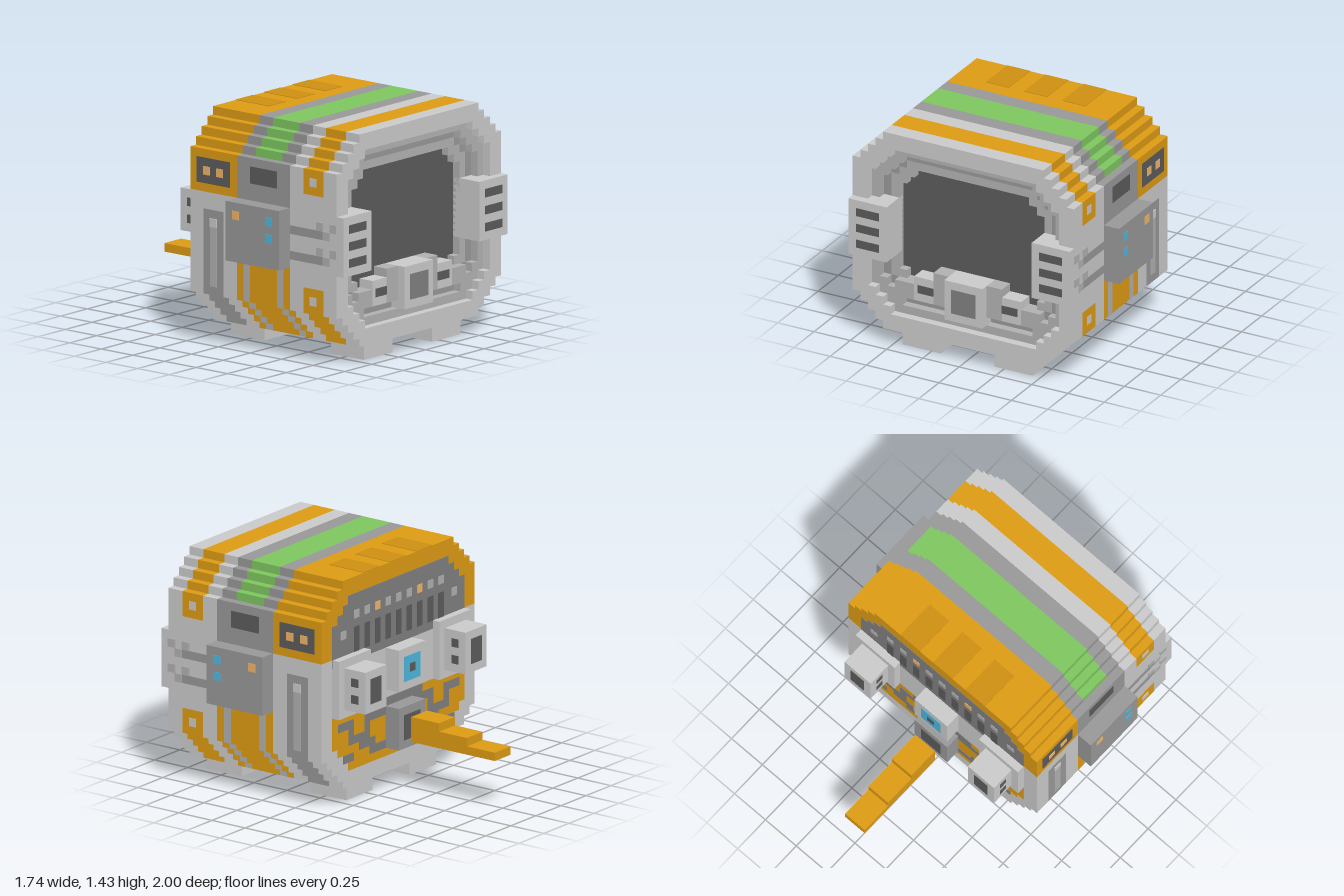
import * as THREE from 'three';
import { mergeGeometries } from 'three/addons/utils/BufferGeometryUtils.js';

const U = 1 / 19; // size of one voxel
const E = 0.06;   // thickness of painted panels, in voxels
const C = {
  light: 0xcccccc, pale: 0xb2b2b2, mid: 0x999999, grey: 0x808080, dark: 0x5c5c5c,
  orange: 0xdf9c14, amber: 0xcf9012, green: 0x7fc760, blue: 0x4fb8e0, tan: 0xf2b56a,
};

export function createModel() {
  const model = new THREE.Group();
  const parts = {};

  // Box between voxel coordinates, collected by part and colour
  function box(part, color, x0, x1, y0, y1, z0, z1) {
    const g = new THREE.BoxGeometry((x1 - x0) * U, (y1 - y0) * U, (z1 - z0) * U);
    g.translate((x0 + x1) / 2 * U, (y0 + y1) / 2 * U, (z0 + z1) / 2 * U);
    ((parts[part] ??= {})[color] ??= []).push(g);
  }
  function pair(part, color, x0, x1, ...yz) {
    box(part, color, x0, x1, ...yz);
    box(part, color, -x1, -x0, ...yz);
  }
  // Painted patches on the sides, front and back
  const side = (color, y0, y1, z0, z1, x = 14.5, n = 1) =>
    pair('sidePanel', color, x, x + E * n, y0, y1, z0, z1);
  const back = (color, x0, x1, y0, y1, z = -4, n = 1) =>
    pair('backPanel', color, x0, x1, y0, y1, z - E * n, z);

  // Stepped octagon: half width of a voxel row
  const octagon = (y0, y1, start, max) => y =>
    y < y0 || y >= y1 ? 0 : Math.min(max, start + Math.min(y - y0, y1 - 1 - y));
  const outline = octagon(2, 27, 10.5, 14.5);
  const hole1 = octagon(4, 25, 9.5, 12.5);
  const hole2 = octagon(5, 24, 8.5, 11.5);
  const hole3 = octagon(6, 23, 8.5, 10.5);
  const windowHole = octagon(7, 22, 7.5, 9.5);

  // Slab or ring of rows, joining equal rows
  function slab(part, z0, z1, outer, inner, colorAt) {
    for (let y = 2; y < 27;) {
      const o = outer(y), i = inner(y), c = colorAt(y);
      let e = y + 1;
      while (e < 27 && outer(e) === o && inner(e) === i && colorAt(e) === c) e++;
      if (o > i) {
        if (i > 0) pair(part, c, i, o, y, e, z0, z1);
        else box(part, c, -o, o, y, e, z0, z1);
      }
      y = e;
    }
  }
  const none = () => 0;

  // Hull: bands along z, each with colours from bottom to top [upper y, colour]
  const cap = [[27, C.orange]];
  const bands = [
    [-4, -2, [[18, C.light], ...cap]],
    [-2, 1, [[16, C.mid], [18, C.light], ...cap]],
    [1, 3, [[18, C.light], ...cap]],
    [3, 4, [[18, C.orange], [27, C.mid]]],
    [4, 5, [[18, C.pale], [27, C.mid]]],
    [5, 9, [[18, C.orange], [23, C.mid], [27, C.green]]],
    [9, 10, [[18, C.pale], [27, C.mid]]],
    [10, 11, [[18, C.orange], [27, C.mid]]],
    [11, 13, [[27, C.light]]],
    [13, 15, [[9, C.orange], [20, C.light], ...cap]],
    [15, 16, [[9, C.orange], [20, C.light], ...cap], hole1],
    [16, 18, [[27, C.light]], hole1],
  ];
  for (const [z0, z1, cols, hole = none] of bands)
    slab('hull', z0, z1, outline, hole, y => cols.find(c => y < c[0])[1]);

  // Stepped window frame and dark window
  slab('windowFrame', 15, 17, hole1, hole2, () => C.pale);
  slab('windowFrame', 15, 16, hole2, hole3, () => C.mid);
  slab('windowFrame', 15, 16, hole3, windowHole, () => C.pale);
  slab('window', 15, 15 + E, windowHole, none, () => C.dark);

  // Console below the window
  box('console', C.light, -2.5, 2.5, 5, 10, 15, 18);
  box('console', C.grey, -1.6, 1.6, 6, 9, 18, 18 + E);
  pair('console', C.pale, 2.5, 4.5, 6, 10, 15, 17);
  pair('console', C.light, 4.5, 7, 6, 9, 15, 17);
  pair('console', C.pale, 7, 9.5, 6, 8, 15, 17);
  pair('console', C.dark, 4.5, 6.5, 7, 8, 17, 17 + E);

  // Front vents
  pair('frontVent', C.light, 9.5, 14.5, 11, 18, 15, 19);
  for (const y of [12, 14, 16]) pair('frontVent', C.dark, 10.5, 13.5, y, y + 1, 19, 19 + E);

  // Side equipment boxes with lamps
  pair('sideBox', C.mid, 14.5, 16.5, 11, 18, 3, 11);
  side(C.blue, 16, 17, 9, 10, 16.5);
  side(C.blue, 14, 15, 9, 10, 16.5);
  side(C.tan, 16, 17, 4, 5, 16.5);

  // Side markings
  side(C.dark, 20, 22, 5, 9);
  side(C.dark, 19, 22, -3, 2);
  for (const z of [0, -2]) side(C.tan, 20, 21, z, z + 1, 14.5, 2);
  for (const y of [7, 21]) side(C.light, y, y + 1, 14, 15);
  side(C.pale, 7, 14, -1, 0);
  side(C.light, 14, 15, -1, 0, 14.5, 2);
  for (const y of [12, 15]) side(C.mid, y, y + 1, 11, 16);
  for (const [y, z] of [[16, 17], [16, 15], [15, 16], [13, 17], [13, 15], [12, 16]])
    side(C.pale, y, y + 1, z, z + 1, 14.5, 2);

  // Darker patches on the roof
  box('roofPatch', C.amber, -1.5, 1.5, 27, 27 + E, -4, 1);
  pair('roofPatch', C.amber, 3.5, 6.5, 27, 27 + E, -4, 1);

  // Rear face: grey instrument field, light belt and orange lower field
  slab('rearFace', -4 - E, -4, hole1, none, y => (y < 11 ? C.orange : y < 17 ? C.light : C.grey));
  for (let i = 0; i <= 4; i++) {
    back(C.dark, i * 2 - 0.5, i * 2 + 0.5, 18, 21, -4, 2);
    back(i === 2 ? C.tan : C.pale, i * 2 - 0.5, i * 2 + 0.5, 22, 23, -4, 2);
  }
  back(C.pale, 10, 11, 20, 21, -4, 2);
  // Pipework on the lower field [x0, x1, y0, y1]
  for (const r of [[2.5, 6.5, 9, 10], [5.5, 6.5, 7, 9], [6.5, 9.5, 7, 8], [8.5, 9.5, 8, 10],
    [9.5, 11.5, 9, 10], [2.5, 5.5, 5, 6], [4.5, 7.5, 6, 7], [8.5, 10.5, 5, 6], [0, 4.5, 10, 11]])
    back(C.grey, ...r, -4, 2);

  // Twin thrusters
  pair('thruster', C.light, 6.5, 12.5, 11, 18, -5, -4);
  pair('thruster', C.light, 7.5, 11.5, 12, 17, -8, -5);
  back(C.dark, 8.5, 10.5, 13, 16, -8);
  for (const y of [13, 15]) {
    side(C.dark, y, y + 1, -7, -6, 11.5);
    pair('thruster', C.dark, 7.5 - E, 7.5, y, y + 1, -7, -6);
  }

  // Central rear box with blue lamp
  box('rearLamp', C.light, -2.5, 2.5, 12, 17, -6, -4);
  box('rearLamp', C.blue, -1.5, 1.5, 13, 16, -6 - E, -6);
  box('rearLamp', C.dark, -0.5, 0.5, 14, 15, -6 - 2 * E, -6);

  // Exhaust box and stepped flame
  box('exhaust', C.mid, -2.5, 2.5, 5, 10, -6, -4);
  box('exhaust', C.dark, -1.5, 1.5, 6, 9, -6 - E, -6);
  for (let i = 0; i < 3; i++)
    box('flame', C.orange, -1.5, 1.5, 6, 9 - i, -11 - i * 4, -7 - i * 4);

  // Feet with dark soles
  for (const z of [-3, 12]) {
    pair('foot', C.light, 3.5, 8.5, 0, 2, z, z + 5);
    pair('foot', C.dark, 4.5, 7.5, -E / 2, E, z + 1, z + 4);
  }

  // Grille on the underside
  box('bottomGrille', C.grey, -4.5, 4.5, 2 - E, 2, 3, 11);
  for (const x of [-3, 0, 3]) box('bottomGrille', C.dark, x - 1, x + 1, 2 - 2 * E, 2, 4, 10);

  // One group per part, one mesh per colour
  for (const [name, colors] of Object.entries(parts)) {
    const group = new THREE.Group();
    group.name = name;
    for (const [color, list] of Object.entries(colors)) {
      const mesh = new THREE.Mesh(mergeGeometries(list),
        new THREE.MeshStandardMaterial({ color: Number(color) }));
      mesh.name = name;
      group.add(mesh);
    }
    model.add(group);
  }
  return model;
}
